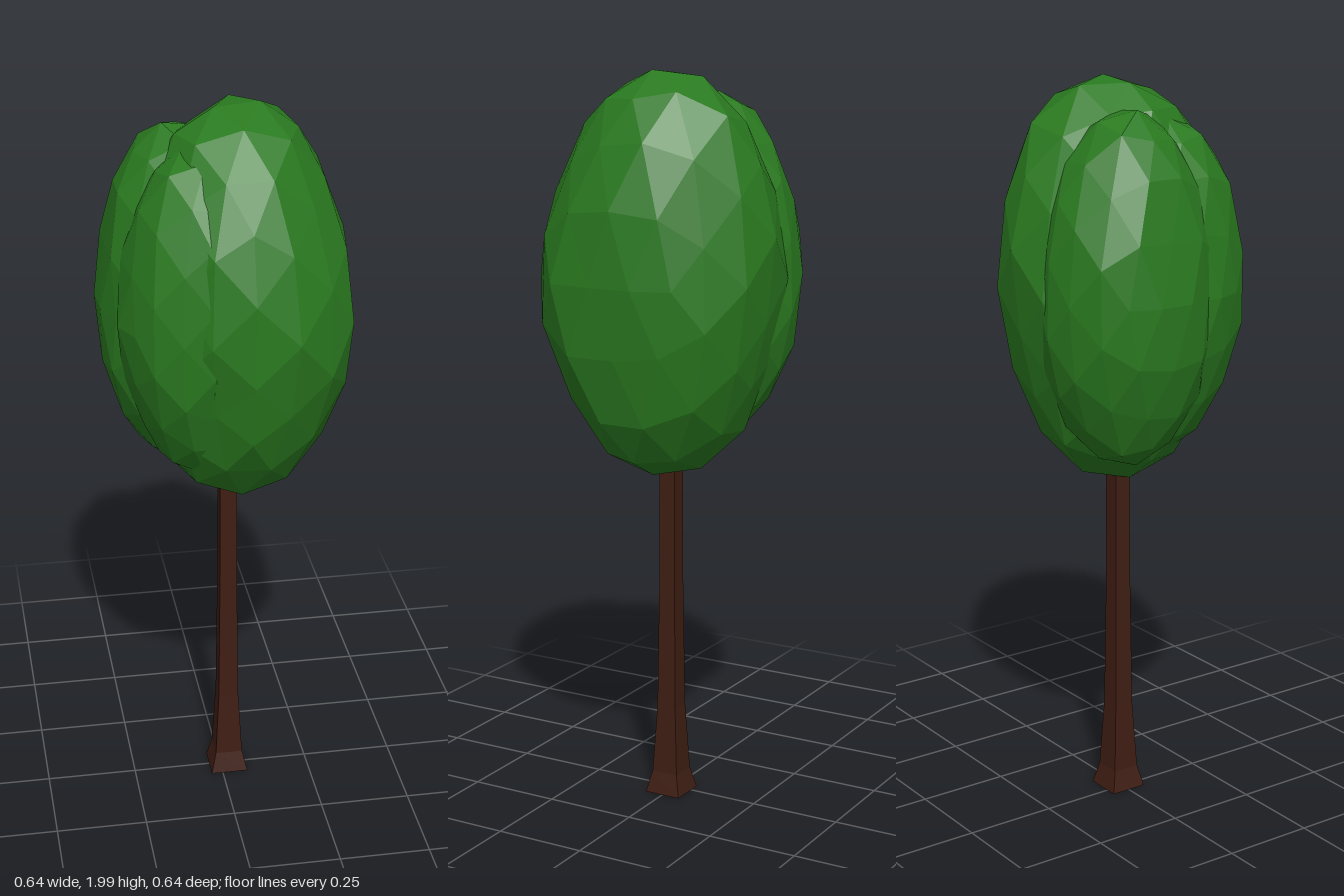
import * as THREE from 'three';

const leafMaterial = new THREE.MeshStandardMaterial({ color: 0x2a7a20, flatShading: true });
const barkMaterial = new THREE.MeshStandardMaterial({ color: 0x3f1e13, flatShading: true });

// Smooth repeatable unevenness over the unit sphere, about -1 to 1
function unevenness(d, seed) {
  return 0.5 * Math.sin(7.3 * d.x + 4.1 * d.y + seed) * Math.cos(6.1 * d.z - 3.7 * d.y + 2 * seed)
    + 0.5 * Math.sin(13.7 * d.z + 9.2 * d.x - 11.3 * d.y + 3 * seed);
}

// Faceted ellipsoid; each bump is [direction, angular width, height] and may be a dent
function leafClump(name, center, radii, seed, bumps) {
  const geometry = new THREE.IcosahedronGeometry(1, 2);
  const position = geometry.attributes.position;
  const d = new THREE.Vector3();
  for (let i = 0; i < position.count; i++) {
    d.fromBufferAttribute(position, i).normalize();
    let scale = 1.01 + 0.045 * unevenness(d, seed) * (1 - 0.8 * d.y * d.y);
    for (const [direction, width, height] of bumps) {
      const angle = d.angleTo(new THREE.Vector3(...direction).normalize());
      scale += height * Math.exp(-((angle / width) ** 2));
    }
    position.setXYZ(i, d.x * scale * radii[0], d.y * scale * radii[1], d.z * scale * radii[2]);
  }
  geometry.computeVertexNormals();
  const mesh = new THREE.Mesh(geometry, leafMaterial);
  mesh.name = name;
  mesh.position.set(...center);
  return mesh;
}

// Square trunk with a flared foot
function makeTrunk() {
  const profile = [[0, 0], [0.052, 0], [0.038, 0.06], [0.028, 0.25], [0.024, 0.6], [0.023, 1.0]]
    .map(([half, y]) => new THREE.Vector2(half * Math.SQRT2, y));
  const trunk = new THREE.Mesh(new THREE.LatheGeometry(profile, 4, Math.PI / 4), barkMaterial);
  trunk.name = 'trunk';
  trunk.position.x = 0.02;
  return trunk;
}

export function createModel() {
  const tree = new THREE.Group();
  tree.name = 'tree';

  const crown = new THREE.Group();
  crown.name = 'crown';
  crown.add(
    leafClump('mainFoliage', [0.04, 1.453, 0.01], [0.292, 0.534, 0.31], 1.3, [
      [[0.7, -0.1, 0.7], 0.5, 0.1], // full front left side
      [[0.45, 0.8, -0.4], 0.4, 0.07], // high back left shoulder
      [[0.05, 0.6, -0.8], 0.4, 0.06], // full upper back
      [[-0.1, 0.2, -1], 0.4, 0.06], // full back
      [[0.6, -0.8, 0], 0.4, 0.04], // full lower side
      [[0, -0.75, -0.65], 0.35, 0.03], // full lower back
      [[1, -0.2, 0.12], 0.2, -0.06], // notch in the side
      [[-0.3, -0.55, 0.8], 0.25, -0.06], // hollow low on the front
    ]),
    leafClump('rearFoliage', [-0.095, 1.455, -0.055], [0.222, 0.465, 0.24], 4.2, [
      [[-0.6, 0, -0.8], 0.5, 0.07], // full back corner
      [[-0.25, 0.9, -0.2], 0.4, 0.04], // lower second peak
      [[-1, 0.35, 0.1], 0.3, -0.05], // slight waist on the side
    ]),
    leafClump('frontFoliage', [-0.06, 1.45, 0.06], [0.215, 0.45, 0.24], 2.6, [
      [[-0.5, 0.75, 0.5], 0.4, 0.06], // high front shoulder
      [[0.15, -0.55, 0.8], 0.3, -0.12], // crease low on the front
    ]),
  );

  tree.add(makeTrunk(), crown);
  return tree;
}
